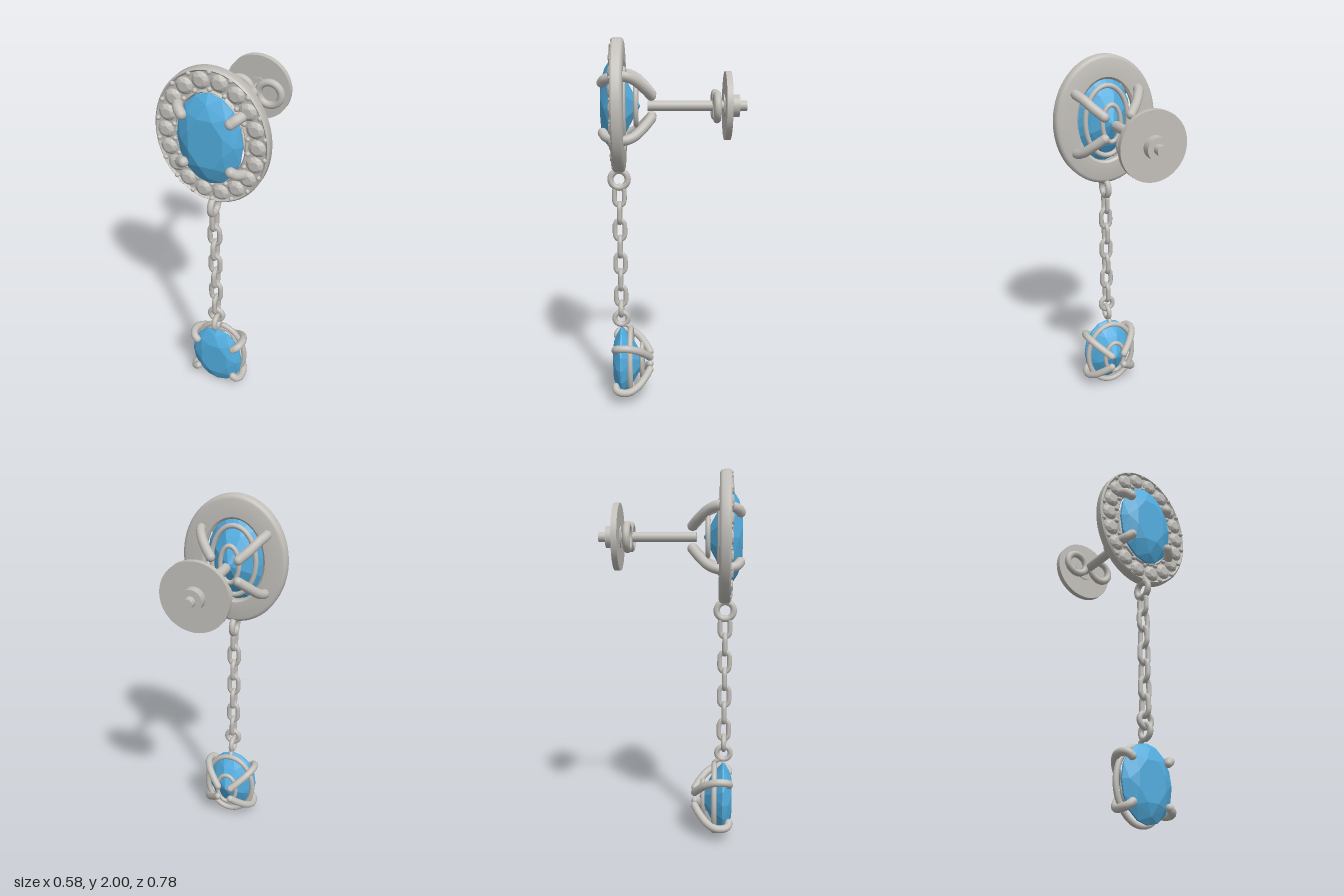
import * as THREE from 'three';
import { toCreasedNormals } from 'three/addons/utils/BufferGeometryUtils.js';
import { ConvexGeometry } from 'three/addons/geometries/ConvexGeometry.js';

const silver = new THREE.MeshStandardMaterial({ color: 0xc2bfba });
silver.name = 'silver';
const blue = new THREE.MeshStandardMaterial({ color: 0x52addf });
blue.name = 'blueGem';

const V = (x, y, z) => new THREE.Vector3(x, y, z);

function add(parent, name, geometry, material = silver, pos = [0, 0, 0]) {
  const mesh = new THREE.Mesh(geometry, material);
  mesh.name = name;
  mesh.position.set(...pos);
  parent.add(mesh);
  return mesh;
}

// Sweep a closed counterclockwise profile of [outward offset, z] around an ellipse
function ellipseSweep(rx, ry, profile, segments = 72) {
  const pos = [], idx = [], n = profile.length;
  for (let i = 0; i < segments; i++) {
    const t = (i / segments) * Math.PI * 2;
    for (const [d, z] of profile) pos.push((rx + d) * Math.cos(t), (ry + d) * Math.sin(t), z);
    for (let j = 0; j < n; j++) {
      const i2 = (i + 1) % segments, j2 = (j + 1) % n;
      const a = i * n + j, b = i2 * n + j, c = i2 * n + j2, d = i * n + j2;
      idx.push(a, b, d, b, c, d);
    }
  }
  const g = new THREE.BufferGeometry();
  g.setAttribute('position', new THREE.Float32BufferAttribute(pos, 3));
  g.setIndex(idx);
  g.computeVertexNormals();
  return g;
}

function wireRing(rx, ry, z, r) {
  const profile = [];
  for (let i = 0; i < 12; i++) {
    const a = (i / 12) * Math.PI * 2;
    profile.push([r * Math.cos(a), z + r * Math.sin(a)]);
  }
  return ellipseSweep(rx, ry, profile);
}

// Faceted oval stone: table, crown, girdle, pavilion and culet
function gem(rx, ry, zTable, zGirdle, zCulet, n = 8) {
  const pts = [V(0, 0, zCulet)];
  const ring = (count, scale, z, shift = 0) => {
    for (let i = 0; i < count; i++) {
      const a = ((i + shift) / count) * Math.PI * 2;
      pts.push(V(rx * scale * Math.cos(a), ry * scale * Math.sin(a), z));
    }
  };
  const h = zTable - zGirdle, depth = zGirdle - zCulet;
  ring(n, 0.56, zTable, 0.5);
  ring(n, 0.82, zGirdle + h * 0.62);
  ring(n * 2, 1, zGirdle + h * 0.1);
  ring(n * 2, 1, zGirdle - h * 0.1);
  ring(n, 0.62, zGirdle - depth * 0.5, 0.5);
  return new ConvexGeometry(pts);
}

// Round wire with rounded ends
function wire(parent, name, points, r) {
  const g = new THREE.Group();
  g.name = name;
  parent.add(g);
  const curve = new THREE.CatmullRomCurve3(points);
  add(g, name + 'Wire', new THREE.TubeGeometry(curve, 28, r, 12));
  for (const p of [points[0], points[points.length - 1]])
    add(g, name + 'End', new THREE.SphereGeometry(r, 12, 10), silver, p.toArray());
}

function fourProngs(parent, points, r) {
  for (const sx of [-1, 1]) for (const sy of [-1, 1])
    wire(parent, 'prong', points.map(([x, y, z]) => V(x * sx, y * sy, z)), r);
}

// Cylinder along z between two depths
function rod(parent, name, r, z0, z1) {
  const g = new THREE.CylinderGeometry(r, r, Math.abs(z1 - z0), 40);
  g.rotateX(Math.PI / 2);
  add(parent, name, g, silver, [0, 0, (z0 + z1) / 2]);
}

// Oblong chain link, long in y
function linkGeometry() {
  const w = 0.026, h = 0.051, c = 0.03, path = new THREE.CurvePath();
  const pts = [[w, -c], [w, c], [w * 0.5, h], [-w * 0.5, h], [-w, c], [-w, -c], [-w * 0.5, -h], [w * 0.5, -h]]
    .map(([x, y]) => V(x, y, 0));
  pts.forEach((p, i) => path.add(new THREE.LineCurve3(p, pts[(i + 1) % pts.length])));
  const smooth = new THREE.CatmullRomCurve3(pts, true, 'catmullrom', 0.25);
  return new THREE.TubeGeometry(smooth, 40, 0.0135, 10, true);
}

function stud() {
  const g = new THREE.Group();
  g.name = 'stud';
  g.position.y = 1.65;

  // Halo plate with raised rims
  const profile = [[0, 0.27], [0, 0.308], [-0.008, 0.316], [-0.018, 0.306], [-0.106, 0.306],
    [-0.113, 0.315], [-0.12, 0.306], [-0.127, 0.265], [-0.115, 0.254], [-0.02, 0.254], [-0.007, 0.259]];
  add(g, 'haloPlate', toCreasedNormals(ellipseSweep(0.29, 0.35, profile), 0.7));

  // Halo stones and the beads that hold them
  const count = 18;
  const spaced = (rx, ry) => new THREE.EllipseCurve(0, 0, rx, ry).getSpacedPoints(count * 2);
  const middle = spaced(0.232, 0.292), outer = spaced(0.274, 0.334), inner = spaced(0.188, 0.25);
  const stone = gem(0.043, 0.043, 0.327, 0.31, 0.285);
  const bead = new THREE.SphereGeometry(0.012, 12, 8);
  for (let i = 0; i < count; i++) {
    const p = middle[i * 2];
    add(g, 'haloStone', stone, silver, [p.x, p.y, 0]).rotation.z = Math.atan2(p.y, p.x);
    for (const b of [outer[i * 2 + 1], inner[i * 2 + 1]])
      add(g, 'haloBead', bead, silver, [b.x, b.y, 0.312]);
  }

  // Centre gem and its basket
  add(g, 'studGem', gem(0.167, 0.237, 0.376, 0.322, 0.172), blue);
  add(g, 'basketRing', wireRing(0.124, 0.19, 0.258, 0.014));
  add(g, 'basketRing', wireRing(0.052, 0.1, 0.195, 0.013));
  fourProngs(g, [[0.122, 0.126, 0.362], [0.145, 0.144, 0.345], [0.168, 0.156, 0.3], [0.18, 0.16, 0.25],
    [0.16, 0.142, 0.2], [0.122, 0.1, 0.152], [0.076, 0.058, 0.114]], 0.026);

  // Post, scroll clutch and backing disc
  rod(g, 'post', 0.027, 0.135, -0.388);
  for (const s of [-1, 1])
    add(g, 'clutchScroll', new THREE.TorusGeometry(0.063, 0.02, 12, 40), silver, [s * 0.083, 0, -0.225]);
  rod(g, 'backingDisc', 0.179, -0.27, -0.301);
  rod(g, 'backingHub', 0.058, -0.264, -0.348);
  return g;
}

function chain() {
  const g = new THREE.Group();
  g.name = 'chain';
  g.position.z = 0.29;
  const side = Math.PI / 2;
  add(g, 'topRing', new THREE.TorusGeometry(0.046, 0.017, 12, 36), silver, [0, 1.26, 0]).rotation.y = side;
  const link = linkGeometry();
  for (let i = 0; i < 7; i++)
    add(g, 'chainLink', link, silver, [0, 1.17 - i * 0.095, 0]).rotation.y = i % 2 ? 0 : side;
  const ring = new THREE.TorusGeometry(0.037, 0.0145, 12, 32);
  add(g, 'lowerRing', ring, silver, [0, 0.525, 0]);
  add(g, 'dropRing', ring, silver, [0, 0.467, 0]).rotation.y = side;
  return g;
}

function drop() {
  const g = new THREE.Group();
  g.name = 'drop';
  g.position.y = 0.21;
  add(g, 'dropGem', gem(0.15, 0.197, 0.337, 0.29, 0.158), blue);
  add(g, 'dropFrame', wireRing(0.145, 0.192, 0.24, 0.015));
  add(g, 'dropBackRing', wireRing(0.06, 0.096, 0.177, 0.012));
  wire(g, 'bail', [V(0, 0.222, 0.278), V(0, 0.215, 0.255), V(0, 0.198, 0.242)], 0.013);
  fourProngs(g, [[0.11, 0.108, 0.322], [0.126, 0.121, 0.318], [0.14, 0.13, 0.298], [0.142, 0.13, 0.25],
    [0.118, 0.108, 0.2], [0.078, 0.072, 0.16], [0.04, 0.038, 0.132]], 0.021);
  return g;
}

export function createModel() {
  const model = new THREE.Group();
  model.name = 'dropEarring';
  model.add(stud(), chain(), drop());
  return model;
}
